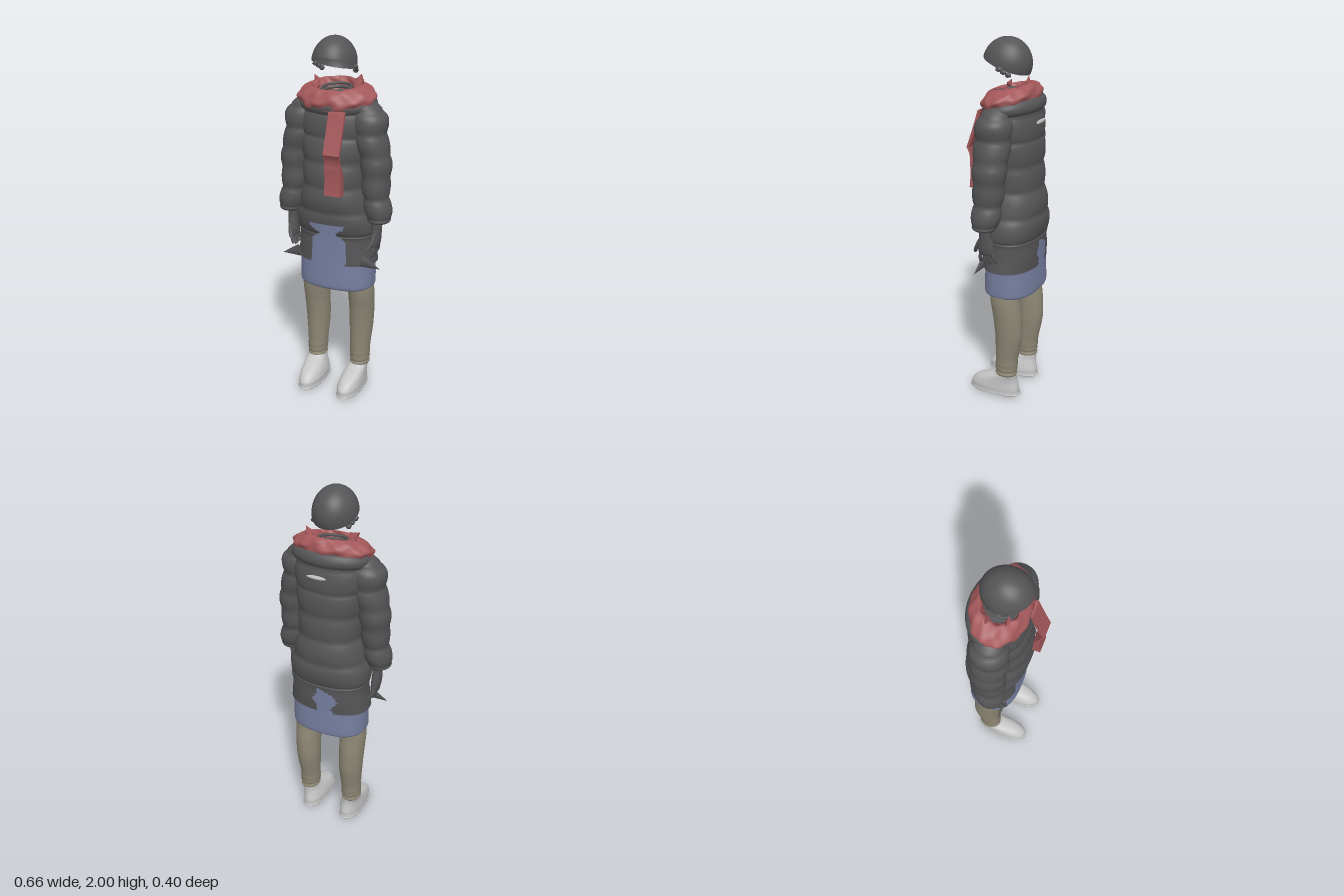
import * as THREE from 'three';

const material = (name, color) => {
  const m = new THREE.MeshStandardMaterial({ color, side: THREE.DoubleSide });
  m.name = name;
  return m;
};

// Smooth skin through elliptical rings [y, centreX, centreZ, radiusX, radiusZ], listed top to bottom.
// puff(y, angle) swells the radius, tilt leans the rings, hole(x, y, z) leaves faces out.
function loft(rings, { segs = 40, steps = 8, power = 2, puff = () => 0, tilt = 0, hole = () => false } = {}) {
  const centres = new THREE.CatmullRomCurve3(rings.map(r => new THREE.Vector3(r[1], r[0], r[2])), false, 'catmullrom', 0.4);
  const radii = new THREE.CatmullRomCurve3(rings.map(r => new THREE.Vector3(r[3], 0, r[4])), false, 'catmullrom', 0.4);
  const rows = (rings.length - 1) * steps;
  const pos = [], index = [];
  const bend = v => Math.sign(v) * Math.abs(v) ** (2 / power);
  for (let i = 0; i <= rows; i++) {
    const c = centres.getPoint(i / rows), r = radii.getPoint(i / rows);
    for (let j = 0; j < segs; j++) {
      const a = j / segs * Math.PI * 2, p = puff(c.y, a);
      const z = c.z + (r.z + p) * bend(Math.sin(a));
      pos.push(c.x + (r.x + p) * bend(Math.cos(a)), c.y - z * tilt, z);
    }
  }
  for (let i = 0; i < rows; i++) for (let j = 0; j < segs; j++) {
    const a = i * segs + j, b = i * segs + (j + 1) % segs, c = a + segs, d = b + segs;
    const mid = k => (pos[a * 3 + k] + pos[d * 3 + k]) / 2;
    if (!hole(mid(0), mid(1), mid(2))) index.push(a, b, c, b, d, c);
  }
  const g = new THREE.BufferGeometry();
  g.setAttribute('position', new THREE.Float32BufferAttribute(pos, 3));
  g.setIndex(index);
  g.computeVertexNormals();
  return g;
}

// Quilted swelling between evenly spaced seams
const quilt = (start, pitch, amp) => y =>
  amp * (Math.sqrt(Math.abs(Math.sin(Math.PI * (y - start) / pitch))) - 0.7);

export function createModel() {
  const model = new THREE.Group();
  const coat = material('charcoal', 0x555557);
  const red = material('dusty red', 0xa4585a);
  const blue = material('slate blue', 0x767e9f);
  const beige = material('khaki', 0x8c8673);
  const grey = material('light grey', 0xc6c6c6);
  const add = (name, geo, mat, parent = model) => {
    const m = new THREE.Mesh(geo, mat);
    m.name = name;
    parent.add(m);
    return m;
  };

  // Helmet: a dome tipped up at the front
  const helmet = add('helmet', new THREE.SphereGeometry(1, 48, 24, 0, Math.PI * 2, 0, Math.PI * 0.52), coat);
  helmet.scale.set(0.115, 0.135, 0.131);
  helmet.position.set(0, 1.865, 0.016);
  helmet.rotation.x = -0.35;
  for (const s of [-1, 1]) for (let i = 0; i < 3; i++) {
    const scrap = add('helmetScrap', new THREE.IcosahedronGeometry(0.015, 0), coat);
    scrap.position.set(s * (0.112 - i * 0.008), 1.85 - i * 0.014, 0.01 - i * 0.022);
    scrap.scale.z = 1.4;
  }

  // Coat body, torn open at the front hem and the back hem
  const torn = (x, y, z) => z > 0
    ? y < 1.025 && Math.abs(x - 0.003) < 0.1 - 0.05 * Math.exp(-(((y - 0.965) / 0.025) ** 2))
    : y < 0.93 + 0.4 * x && Math.abs(x + 0.03) < 0.055 + 0.015 * Math.sin(y * 60);
  add('coatBody', loft([
    [1.655, 0, -0.02, 0.005, 0.005],
    [1.68, 0, -0.02, 0.09, 0.085],
    [1.685, 0, -0.025, 0.14, 0.11],
    [1.63, 0, -0.022, 0.19, 0.132],
    [1.5, 0, -0.022, 0.19, 0.147],
    [1.4, 0, -0.018, 0.182, 0.153],
    [1.25, 0, -0.015, 0.175, 0.162],
    [1.15, 0, -0.02, 0.19, 0.17],
    [1.05, 0, -0.028, 0.215, 0.168],
    [0.97, 0, -0.033, 0.224, 0.155],
    [0.93, 0, -0.036, 0.216, 0.145],
    [0.85, 0, -0.035, 0.22, 0.147],
    [0.785, 0, -0.032, 0.228, 0.145],
  ], { segs: 128, steps: 9, power: 2.3, puff: y => y > 0.95 && y < 1.63 ? quilt(0.95, 0.135, 0.013)(y) : 0, hole: torn }), coat);

  // Folded hood lying around the shoulders
  const hood = add('hoodFold', new THREE.TorusGeometry(1, 0.22, 16, 64), coat);
  hood.scale.set(0.178, 0.125, 0.17);
  hood.position.set(0, 1.655, -0.025);
  hood.rotation.x = Math.PI / 2 + 0.12;

  // Pale torn lining between the shoulder blades
  const tear = add('backTear', new THREE.SphereGeometry(1, 20, 8), grey);
  tear.scale.set(0.055, 0.01, 0.004);
  tear.position.set(0.01, 1.585, -0.179);
  tear.rotation.x = 0.2;

  // Ribbed inner collar
  for (let i = 0; i < 3; i++) {
    const rib = add('innerCollar', new THREE.TorusGeometry(0.088 - i * 0.006, 0.008, 8, 40), coat);
    rib.position.set(0, 1.685 + i * 0.022, -0.012);
    rib.rotation.x = Math.PI / 2 + 0.15;
  }

  // Crumpled scarf wrap
  add('scarfWrap', loft([
    [1.665, 0, -0.01, 0.092, 0.085],
    [1.72, 0, -0.01, 0.106, 0.092],
    [1.75, 0, -0.012, 0.128, 0.1],
    [1.73, 0, -0.012, 0.18, 0.125],
    [1.695, 0, -0.012, 0.216, 0.143],
    [1.655, 0, -0.012, 0.2, 0.135],
  ], { segs: 80, tilt: 0.2, puff: (y, a) => 0.004 * Math.sin(a * 7 + y * 90) + 0.003 * Math.sin(a * 13 - y * 50) }), red);
  for (const [x, z, lean] of [[-0.13, -0.04, 0.5], [0.13, -0.03, -0.6], [-0.1, 0.05, 0.9], [0.1, -0.09, -0.3]]) {
    const tip = add('scarfTip', new THREE.ConeGeometry(0.03, 0.05, 4), red);
    tip.position.set(x, 1.755 - z * 0.2, z);
    tip.rotation.z = lean;
    tip.scale.z = 0.5;
  }

  // Hanging scarf end: side outline (z, y) given width
  const tail = new THREE.Shape();
  tail.moveTo(0.118, 1.635);
  tail.lineTo(0.135, 1.63);
  tail.quadraticCurveTo(0.165, 1.53, 0.205, 1.425);
  tail.quadraticCurveTo(0.18, 1.39, 0.185, 1.35);
  tail.quadraticCurveTo(0.18, 1.27, 0.19, 1.205);
  tail.lineTo(0.143, 1.205);
  tail.quadraticCurveTo(0.135, 1.28, 0.155, 1.33);
  tail.quadraticCurveTo(0.185, 1.38, 0.19, 1.425);
  tail.quadraticCurveTo(0.15, 1.52, 0.118, 1.635);
  const tailMesh = add('scarfTail', new THREE.ExtrudeGeometry(tail, { depth: 0.09, bevelEnabled: false, curveSegments: 8 }), red);
  tailMesh.rotation.y = -Math.PI / 2;
  tailMesh.position.x = 0.11;

  // Skirt
  add('skirt', loft([
    [1.05, 0, -0.03, 0.195, 0.135],
    [0.93, 0, -0.035, 0.205, 0.136],
    [0.8, 0, -0.035, 0.21, 0.139],
    [0.67, 0, -0.035, 0.212, 0.145],
    [0.64, 0, -0.035, 0.21, 0.142],
    [0.63, 0, -0.035, 0.198, 0.13],
  ], { segs: 64, power: 2.5 }), blue);

  for (const s of [-1, 1]) {
    const side = s > 0 ? 'left' : 'right';

    // Quilted sleeve
    add(side + 'Sleeve', loft([
      [1.685, s * 0.13, -0.02, 0.01, 0.01],
      [1.67, s * 0.15, -0.012, 0.065, 0.06],
      [1.6, s * 0.188, -0.005, 0.094, 0.092],
      [1.5, s * 0.2, 0, 0.086, 0.096],
      [1.36, s * 0.232, 0.002, 0.08, 0.09],
      [1.2, s * 0.238, 0.01, 0.07, 0.08],
      [1.1, s * 0.255, 0.015, 0.07, 0.075],
      [1.05, s * 0.262, 0.02, 0.06, 0.064],
      [1.035, s * 0.26, 0.02, 0.03, 0.035],
    ], { segs: 40, puff: y => y > 1.06 && y < 1.63 ? quilt(1.06, 0.114, 0.014)(y) : 0 }), coat);

    // Gloved hand
    const hand = new THREE.Group();
    hand.name = side + 'Glove';
    hand.position.set(s * 0.25, 0, 0.02);
    model.add(hand);
    add('palm', loft([
      [1.05, 0, 0, 0.028, 0.035],
      [1, 0, 0, 0.026, 0.035],
      [0.94, -s * 0.004, 0, 0.025, 0.046],
      [0.9, -s * 0.008, -0.003, 0.02, 0.044],
      [0.89, -s * 0.008, -0.003, 0.005, 0.02],
    ], { segs: 20, steps: 5 }), coat, hand);
    const finger = (x1, y1, z1, x2, y2, z2) => add('finger', new THREE.TubeGeometry(new THREE.QuadraticBezierCurve3(
      new THREE.Vector3(s * x1, y1, z1), new THREE.Vector3(s * (x1 + 0.008), (y1 + y2) / 2, (z1 + z2) / 2),
      new THREE.Vector3(s * x2, y2, z2)), 8, 0.0105, 8), coat, hand);
    for (let i = 0; i < 4; i++)
      finger(-0.008, 0.915, 0.03 - i * 0.022, -0.022, 0.835 + Math.abs(i - 1.3) * 0.012, 0.04 - i * 0.031);
    finger(-0.005, 0.975, 0.035, -0.025, 0.9, 0.075);

    // Flicked-out hem corner
    const flap = add(side + 'HemCorner', new THREE.ConeGeometry(0.035, 0.11, 8), coat);
    flap.scale.z = 0.35;
    flap.position.set(s * 0.24, 0.805, 0.07);
    flap.rotation.z = -s * 1.85;

    // Trouser leg
    add(side + 'Leg', loft([
      [0.72, s * 0.125, -0.03, 0.075, 0.085],
      [0.6, s * 0.138, -0.038, 0.073, 0.084],
      [0.5, s * 0.138, -0.052, 0.07, 0.082],
      [0.38, s * 0.135, -0.058, 0.066, 0.077],
      [0.25, s * 0.133, -0.046, 0.057, 0.065],
      [0.17, s * 0.134, -0.042, 0.053, 0.061],
      [0.14, s * 0.134, -0.042, 0.052, 0.06],
    ], { segs: 32, steps: 6, puff: y => y < 0.22 ? 0.003 * Math.sin(y * 220) : 0 }), beige);

    // Shoe with sole and heel
    add(side + 'Shoe', loft([
      [0.165, s * 0.134, -0.042, 0.044, 0.052],
      [0.14, s * 0.132, -0.036, 0.05, 0.064],
      [0.115, s * 0.128, -0.005, 0.054, 0.094],
      [0.085, s * 0.123, 0.023, 0.06, 0.126],
      [0.05, s * 0.12, 0.035, 0.064, 0.146],
      [0.025, s * 0.12, 0.036, 0.062, 0.147],
    ], { segs: 40, steps: 5, power: 2.2 }), grey);
    add(side + 'Sole', loft([
      [0.03, s * 0.12, 0.036, 0.066, 0.15],
      [0.018, s * 0.12, 0.036, 0.067, 0.151],
      [0.012, s * 0.12, 0.036, 0.062, 0.146],
      [0.012, s * 0.12, 0.036, 0.001, 0.001],
    ], { segs: 40, steps: 3, power: 2.2 }), grey);
    const pad = (name, z, rz) => {
      const p = add(name, new THREE.CylinderGeometry(1, 1, 0.014, 28), grey);
      p.scale.set(0.052, 1, rz);
      p.position.set(s * 0.12, 0.007, z);
    };
    pad('heel', -0.058, 0.045);
    pad('ballOfSole', 0.095, 0.075);
  }
  return model;
}
